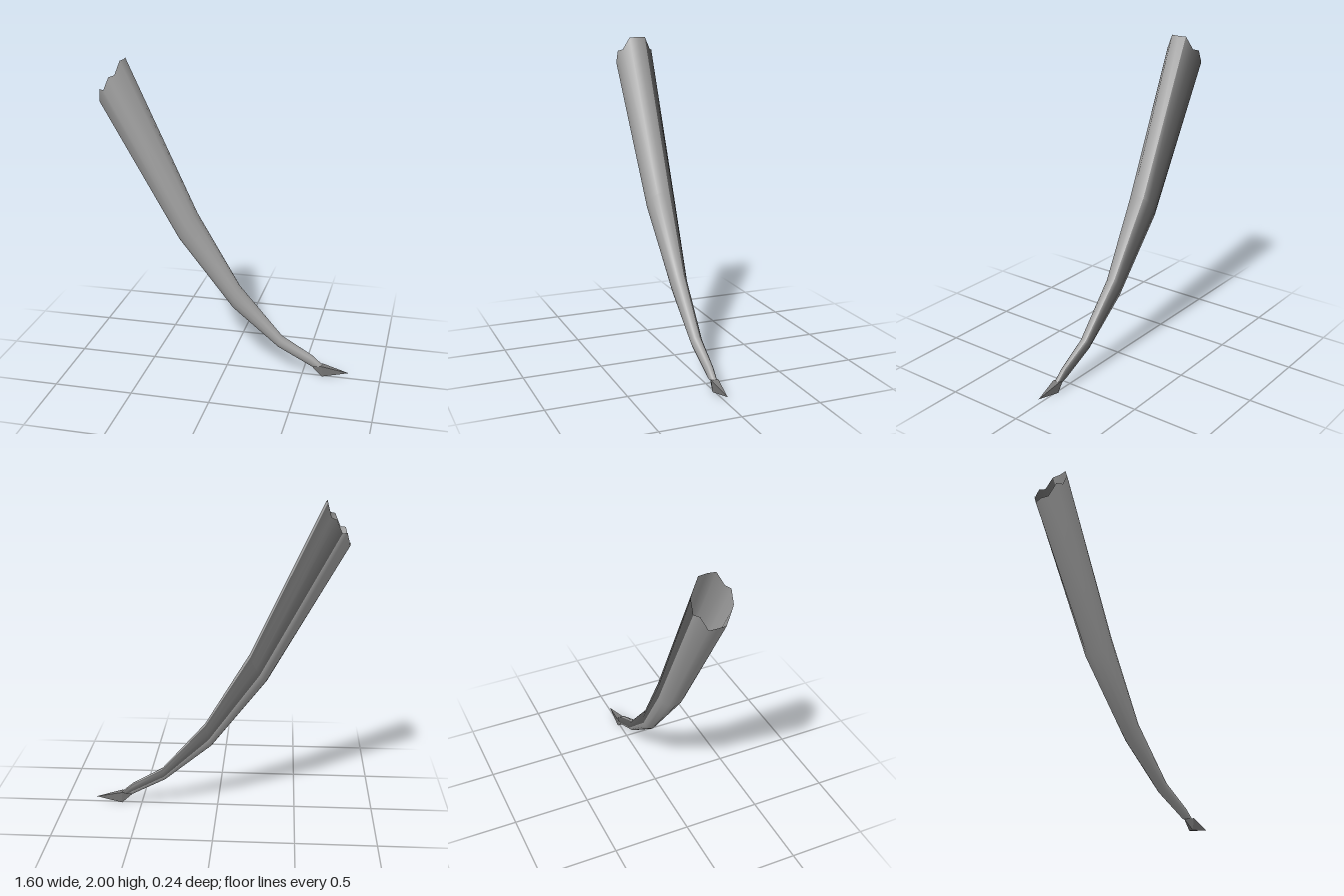
import * as THREE from 'three';
import { ConvexGeometry } from 'three/addons/geometries/ConvexGeometry.js';

const SIDES = 14;

// Cross-sections: lower edge x,y, upper edge x,y, half width, z offset
const SECTIONS = [
  [-0.80, 1.75, -0.645, 2.0, 0.122, 0],
  [-0.31, 0.87, -0.20, 1.04, 0.094, -0.008],
  [0.04, 0.42, 0.08, 0.57, 0.053, -0.008],
  [0.34, 0.175, 0.36, 0.25, 0.036, -0.004],
  [0.56, 0.06, 0.56, 0.135, 0.026, -0.002],
  [0.57, 0.06, 0.63, 0.075, 0.022, -0.001],
];

// Stepped heights of the rim, from its highest point to its lowest
const RIM = [2, 2, 1.92, 1.91, 1.83, 1.83, 1.745, 1.75];

// Strips of the tube between two positions around its section
function strips(from, to) {
  const index = [];
  for (let i = 0; i < SECTIONS.length - 1; i++) {
    for (let j = from; j < to; j++) {
      const a = i * SIDES + j, c = i * SIDES + (j + 1) % SIDES;
      const b = a + SIDES, d = c + SIDES;
      index.push(a, c, b, c, d, b);
    }
  }
  return index;
}

function tubeGeometry() {
  const positions = [];
  SECTIONS.forEach(([x0, y0, x1, y1, w, dz], i) => {
    for (let j = 0; j < SIDES; j++) {
      const a = (j / SIDES) * Math.PI * 2, t = (1 + Math.cos(a)) / 2;
      const y = i === 0 ? RIM[Math.min(j, SIDES - j)] : y0 + (y1 - y0) * t;
      positions.push(x0 + (x1 - x0) * t, y, dz + w * Math.sin(a));
    }
  });
  const g = new THREE.BufferGeometry();
  g.setAttribute('position', new THREE.Float32BufferAttribute(positions, 3));
  g.setIndex(strips(0, SIDES));
  g.computeVertexNormals();
  return g;
}

export function createModel() {
  const group = new THREE.Group();
  group.name = 'curvedHorn';
  const add = (name, geometry, color) => {
    const material = new THREE.MeshStandardMaterial({ color, side: THREE.DoubleSide });
    const mesh = new THREE.Mesh(geometry, material);
    mesh.name = name;
    group.add(mesh);
  };

  // Tapering curved tube, open at the stepped rim, with a dark strip along its back
  const tube = tubeGeometry();
  const back = tube.clone();
  tube.setIndex([...strips(0, 10), ...strips(13, SIDES)]);
  back.setIndex(strips(10, 13));
  add('taperedTube', tube, 0xa2a2a2);
  add('backStrip', back, 0x5a5a5a);

  // Pointed wedge at the lower end
  const points = [new THREE.Vector3(0.56, 0.06, 0), new THREE.Vector3(0.8, 0.035, -0.005)];
  for (const s of [-1, 1]) {
    points.push(new THREE.Vector3(0.63, 0.075, s * 0.023), new THREE.Vector3(0.63, 0, s * 0.014));
  }
  add('pointedTip', new ConvexGeometry(points), 0x7a7a7a);

  return group;
}
